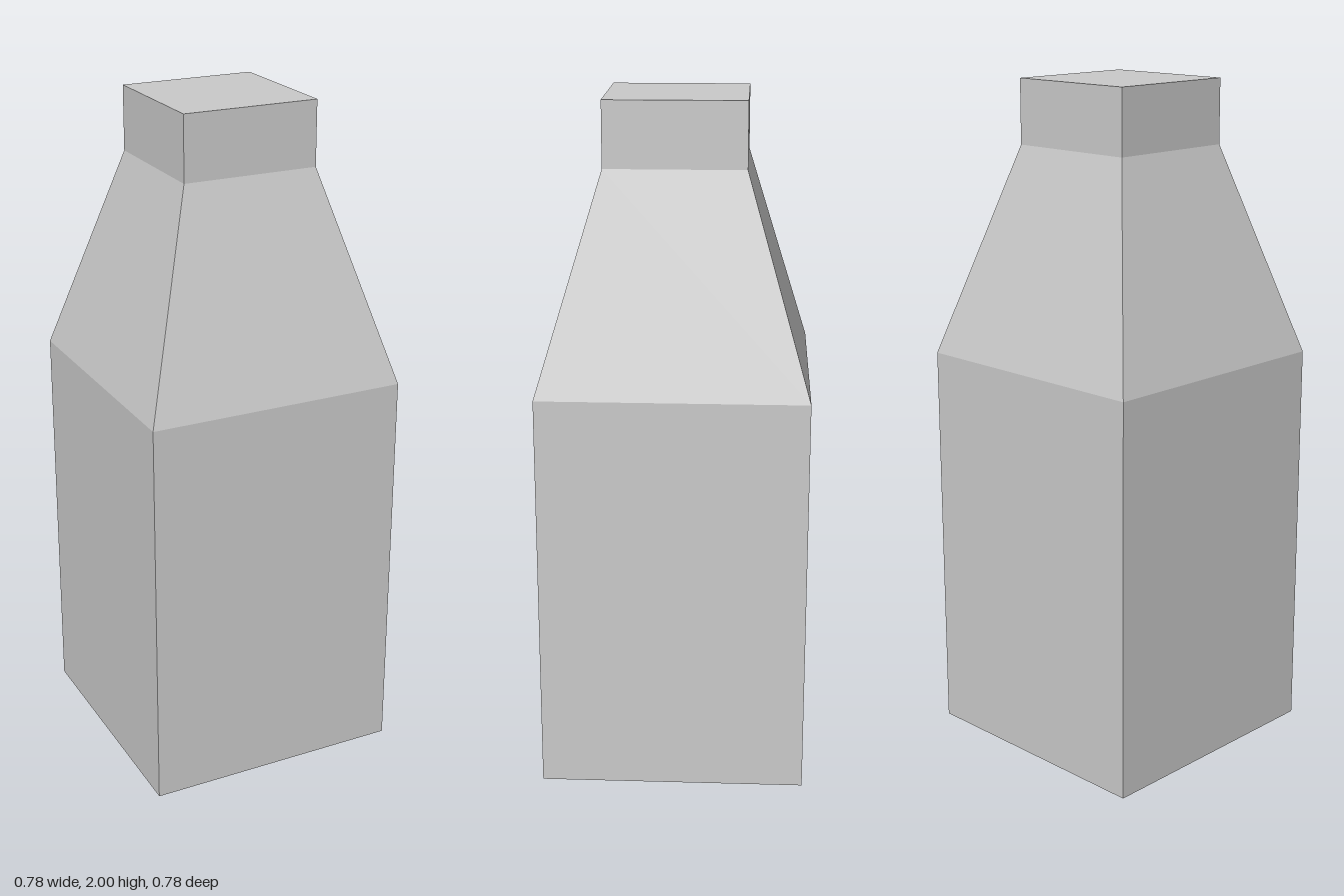
import * as THREE from 'three';

const BODY = 0.388, NECK = 0.203; // half widths
const SHOULDER_Y = 1.19, NECK_Y = 1.81, TOP_Y = 2;

// Square section swept from a [halfWidth, y] profile, listed bottom to top
function squareSection(name, profile, material) {
  const points = profile.map(([half, y]) => new THREE.Vector2(half * Math.SQRT2, y));
  const geometry = new THREE.LatheGeometry(points, 4, Math.PI / 4).toNonIndexed();
  geometry.computeVertexNormals();
  const mesh = new THREE.Mesh(geometry, material);
  mesh.name = name;
  return mesh;
}

export function createModel() {
  const group = new THREE.Group();
  group.name = 'squareBottle';
  const material = new THREE.MeshStandardMaterial({ color: 0xcccccc, flatShading: true });

  group.add(
    // Straight body with closed base
    squareSection('body', [[0, 0], [BODY, 0], [BODY, SHOULDER_Y]], material),
    // Tapered shoulder
    squareSection('shoulder', [[BODY, SHOULDER_Y], [NECK, NECK_Y]], material),
    // Short neck with closed top
    squareSection('neck', [[NECK, NECK_Y], [NECK, TOP_Y], [0, TOP_Y]], material),
  );
  return group;
}
